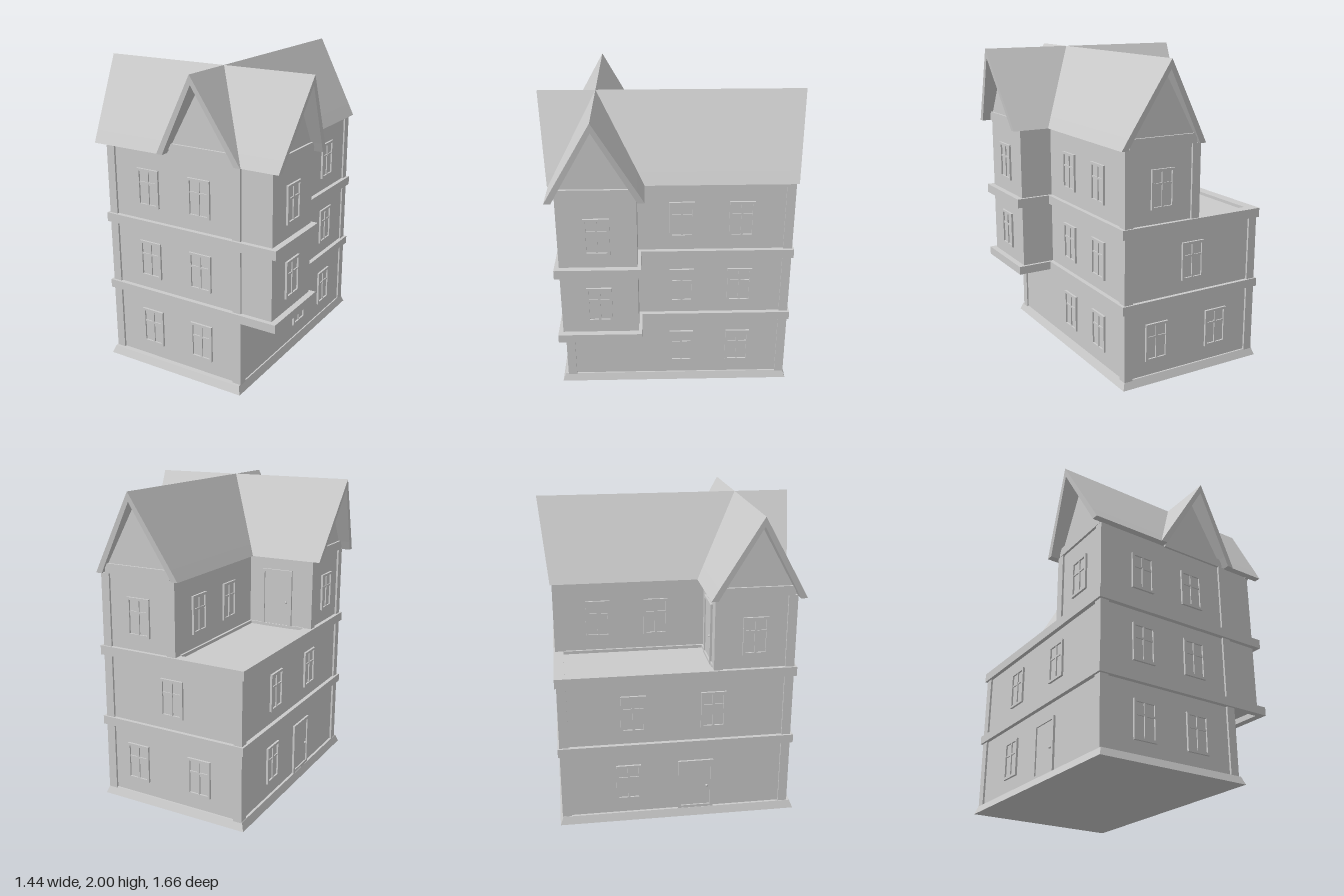
import * as THREE from 'three';

const material = new THREE.MeshStandardMaterial({ color: 0xcccccc, flatShading: true, side: THREE.DoubleSide });

function addMesh(parent, name, geometry) {
  const mesh = new THREE.Mesh(geometry, material);
  mesh.name = name;
  parent.add(mesh);
  return mesh;
}

// Box given by its limits on each axis
function addBox(parent, name, [x0, x1], [y0, y1], [z0, z1]) {
  const mesh = addMesh(parent, name, new THREE.BoxGeometry(x1 - x0, y1 - y0, z1 - z0));
  mesh.position.set((x0 + x1) / 2, (y0 + y1) / 2, (z0 + z1) / 2);
  return mesh;
}

const rectPath = (x0, x1, y0, y1, Type = THREE.Path) =>
  new Type([[x0, y0], [x1, y0], [x1, y1], [x0, y1]].map(p => new THREE.Vector2(...p)));

// Flat frame standing in the xy plane
function frameGeometry(w, h, border, depth) {
  const shape = rectPath(-w / 2, w / 2, -h / 2, h / 2, THREE.Shape);
  shape.holes.push(rectPath(-w / 2 + border, w / 2 - border, -h / 2 + border, h / 2 - border));
  return new THREE.ExtrudeGeometry(shape, { depth, bevelEnabled: false });
}

function addWindow(parent, x, y, z, turn) {
  const win = new THREE.Group();
  win.name = 'window';
  addMesh(win, 'windowFrame', frameGeometry(0.16, 0.245, 0.016, 0.014));
  addBox(win, 'glass', [-0.07, 0.07], [-0.112, 0.112], [-0.005, 0.003]);
  addBox(win, 'mullion', [-0.007, 0.007], [-0.11, 0.11], [0, 0.011]);
  addBox(win, 'transom', [-0.068, 0.068], [0.026, 0.038], [0, 0.01]);
  win.position.set(x, y, z);
  win.rotation.y = turn;
  parent.add(win);
}

function addDoor(parent, x, y, z, turn, w, h) {
  const door = new THREE.Group();
  door.name = 'door';
  const frame = addMesh(door, 'doorFrame', frameGeometry(w, h, 0.018, 0.014));
  frame.position.y = h / 2;
  addBox(door, 'doorLeaf', [-w / 2 + 0.01, w / 2 - 0.01], [0.01, h - 0.01], [-0.005, 0.005]);
  const knob = addMesh(door, 'doorKnob', new THREE.SphereGeometry(0.009, 8, 6));
  knob.position.set(w / 2 - 0.04, h * 0.45, 0.01);
  door.position.set(x, y, z);
  door.rotation.y = turn;
  parent.add(door);
}

// Horizontal moulding around the house and its bay, with openings
function addBand(parent, name, top, depth, holes) {
  const outline = [[-0.605, 0.735], [-0.605, -0.78], [0.415, -0.78], [0.415, 0.2], [0.645, 0.2], [0.645, 0.735]];
  const shape = new THREE.Shape(outline.map(p => new THREE.Vector2(...p)));
  holes.forEach(h => shape.holes.push(rectPath(...h)));
  const geometry = new THREE.ExtrudeGeometry(shape, { depth, bevelEnabled: false });
  geometry.rotateX(Math.PI / 2);
  addMesh(parent, name, geometry).position.y = top;
}

const EAVE = 1.485, RIDGE = 2;
const outer = [[-0.295, EAVE], [-0.253, 1.56], [0, RIDGE], [0.253, 1.56], [0.295, EAVE]];
const inner = [[-0.252, EAVE], [-0.22, 1.545], [0, 1.94], [0.22, 1.545], [0.252, EAVE]];

// One roof arm: hollow profile running out along +z, mitred at the valleys
function roofArmGeometry(length) {
  const loop = [...outer, ...[...inner].reverse()];
  const end = ([d, y]) => [d, y, length + 0.06 * (y - EAVE) / (RIDGE - EAVE)];
  const mitre = ([d, y]) => [d, y, Math.abs(d)];
  const pos = [];
  const quad = (a, b, c, d) => pos.push(...a, ...b, ...c, ...a, ...c, ...d);
  loop.forEach((p, i) => {
    const q = loop[(i + 1) % loop.length];
    quad(end(p), end(q), mitre(q), mitre(p));
  });
  for (let i = 0; i < 4; i++) quad(end(outer[i]), end(inner[i]), end(inner[i + 1]), end(outer[i + 1]));
  const geometry = new THREE.BufferGeometry();
  geometry.setAttribute('position', new THREE.Float32BufferAttribute(pos, 3));
  geometry.computeVertexNormals();
  return geometry;
}

export function createModel() {
  const model = new THREE.Group();
  model.name = 'house';
  const house = new THREE.Group();
  house.name = 'building';
  house.rotation.y = -0.028;
  model.add(house);

  // Plinth with sloping sides
  const plinth = addBox(house, 'plinth', [-0.612, 0.412], [0, 0.05], [-0.785, 0.757]);
  const pp = plinth.geometry.attributes.position;
  for (let i = 0; i < pp.count; i++) {
    if (pp.getY(i) > 0) pp.setXYZ(i, pp.getX(i) * 0.965, pp.getY(i), pp.getZ(i) * 0.975);
  }
  plinth.geometry.computeVertexNormals();

  // Walls of the three storeys
  addBox(house, 'groundFloorWalls', [-0.578, 0.385], [0.04, 0.5], [-0.755, 0.705]);
  addBox(house, 'middleFloorWalls', [-0.578, 0.385], [0.5, 1.0], [-0.755, 0.705]);
  addBox(house, 'middleBayWalls', [0.385, 0.605], [0.525, 1.0], [0.22, 0.705]);
  addBox(house, 'topFrontWalls', [-0.578, 0.605], [1.0, 1.5], [0.22, 0.705]);
  addBox(house, 'topRearWalls', [-0.125, 0.385], [1.0, 1.5], [-0.755, 0.22]);

  // Mouldings: lower one is open under the bay, upper one around the terrace
  addBand(house, 'lowerBand', 0.545, 0.055, [[0.43, 0.595, 0.245, 0.695]]);
  addBand(house, 'upperBand', 1.02, 0.06, [[-0.535, -0.14, -0.715, 0.21]]);

  // Corner posts: [x centre, z centre, bottom, top]
  const left = -0.562, right = 0.367, front = 0.69, back = -0.74;
  const storeys = [[0.045, 0.5], [0.54, 0.97], [1.01, 1.49]];
  storeys.forEach(([y0, y1], floor) => {
    const top = floor === 2;
    const spots = [[left, front], [right, front], [right, back], [top ? -0.107 : left, back]];
    if (top) spots.push([left, 0.235]);
    spots.forEach(([x, z]) =>
      addBox(house, 'cornerPost', [x - 0.029, x + 0.029], [y0, y1], [z - 0.029, z + 0.029]));
  });

  // Windows on every side, storey by storey
  const back180 = Math.PI, toRight = Math.PI / 2, toLeft = -Math.PI / 2;
  const levels = [0.267, 0.75, 1.233];
  levels.forEach((y, floor) => {
    [-0.28, 0.10].forEach(x => addWindow(house, x, y, 0.705, 0));
    [-0.06, -0.44].forEach(z => addWindow(house, 0.385, y, z, toRight));
    if (floor > 0) addWindow(house, 0.605, y, 0.465, toRight);
    [[0.16, -0.29], [-0.1], [0.13]][floor].forEach(x => addWindow(house, x, y, -0.755, back180));
    [[-0.335], [-0.3, 0.21], [0.465]][floor].forEach(z => addWindow(house, -0.578, y, z, toLeft));
  });
  [-0.1, -0.48].forEach(z => addWindow(house, -0.125, levels[2], z, toLeft));

  // Doors: street door and terrace door
  addDoor(house, -0.578, 0.05, 0.1, toLeft, 0.23, 0.345);
  addDoor(house, -0.33, 1.0, 0.22, back180, 0.22, 0.4);

  // Cross-shaped roof with a recessed gable and beam on each arm
  const arms = [
    { name: 'front', turn: 0, length: 0.3, wall: 0.24 },
    { name: 'left', turn: Math.PI / 2, length: 0.54, wall: 0.475 },
    { name: 'back', turn: Math.PI, length: 1.245, wall: 1.22 },
    { name: 'right', turn: -Math.PI / 2, length: 0.78, wall: 0.708 },
  ];
  arms.forEach(({ name, turn, length, wall }) => {
    const arm = new THREE.Group();
    arm.name = name + 'RoofArm';
    arm.position.set(0.13, 0, 0.465);
    arm.rotation.y = turn;
    addMesh(arm, 'roof', roofArmGeometry(length));
    const gable = new THREE.Shape(inner.map(p => new THREE.Vector2(...p)));
    addMesh(arm, 'gable', new THREE.ExtrudeGeometry(gable, { depth: 0.02, bevelEnabled: false })).position.z = wall - 0.02;
    addBox(arm, 'gableBeam', [-0.235, 0.235], [1.488, 1.548], [wall - 0.01, wall + 0.015]);
    house.add(arm);
  });
  return model;
}
